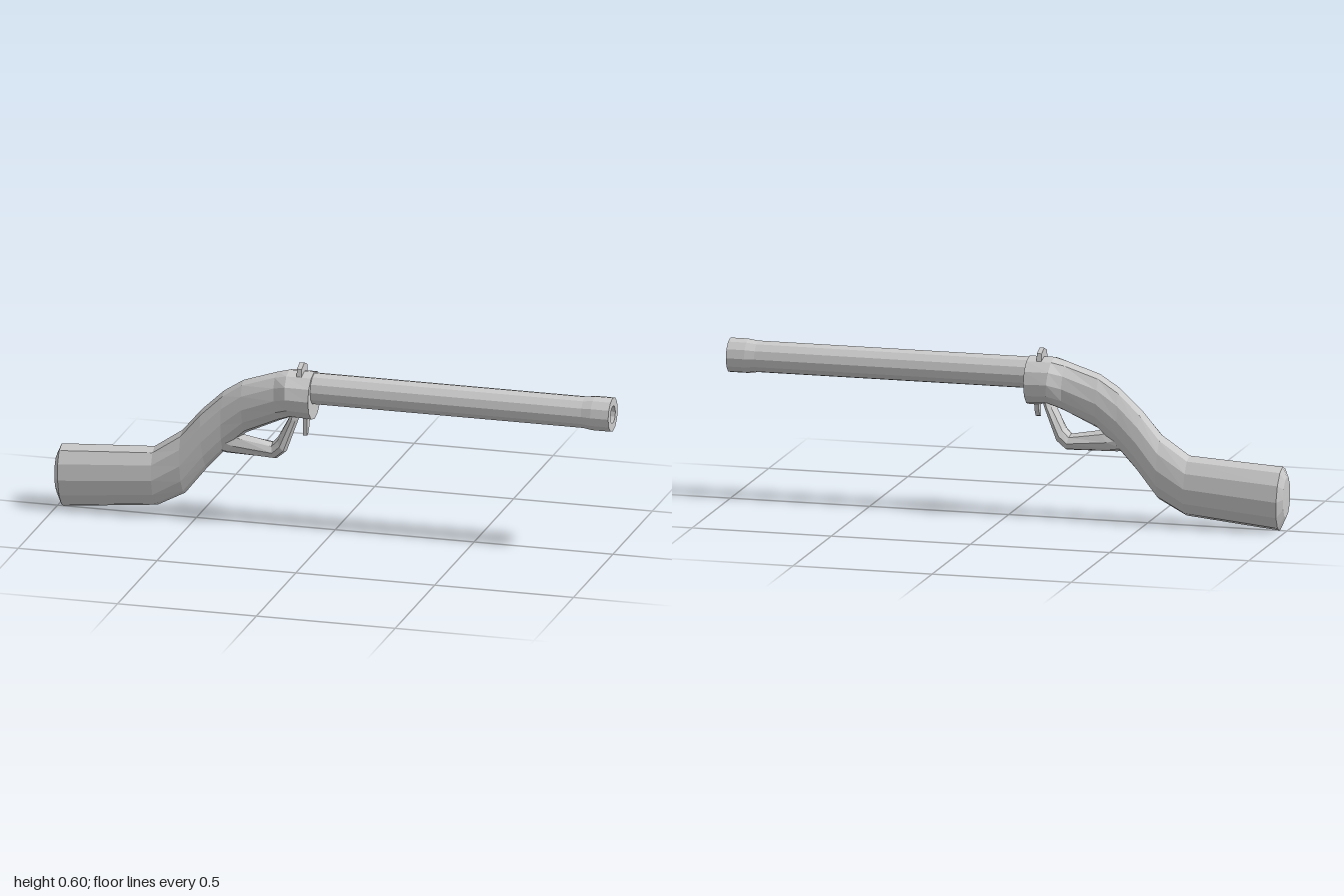
import * as THREE from 'three';

const material = new THREE.MeshStandardMaterial({ color: 0xcccccc, flatShading: true, side: THREE.DoubleSide });

// Skin a row of elliptical rings, each given as [topX, topY, bottomX, bottomY, halfWidth]
function loft(name, sections, sides) {
  const pos = [], index = [];
  for (const [tx, ty, bx, by, w] of sections) {
    for (let j = 0; j < sides; j++) {
      const a = (j / sides) * Math.PI * 2, c = Math.cos(a) / 2;
      pos.push((tx + bx) / 2 + (tx - bx) * c, (ty + by) / 2 + (ty - by) * c, w * Math.sin(a));
    }
  }
  for (let i = 0; i < sections.length - 1; i++) {
    for (let j = 0; j < sides; j++) {
      const k = (j + 1) % sides;
      const a = i * sides + j, b = i * sides + k;
      const c = b + sides, d = a + sides;
      // collapsed rings close an end with a fan
      if (sections[i][4] > 0) index.push(a, b, c);
      if (sections[i + 1][4] > 0) index.push(a, c, d);
      else if (sections[i][4] > 0) continue;
    }
  }
  const g = new THREE.BufferGeometry();
  g.setAttribute('position', new THREE.Float32BufferAttribute(pos, 3));
  g.setIndex(index);
  g.computeVertexNormals();
  const mesh = new THREE.Mesh(g, material);
  mesh.name = name;
  return mesh;
}

// Flat plate with an outline in (z, y), thickened along x
function plate(name, outline, x, thickness) {
  const shape = new THREE.Shape(outline.map(([z, y]) => new THREE.Vector2(-z, y)));
  const g = new THREE.ExtrudeGeometry(shape, { depth: thickness, bevelEnabled: false });
  g.rotateY(Math.PI / 2);
  g.translate(x, 0, 0);
  const mesh = new THREE.Mesh(g, material);
  mesh.name = name;
  return mesh;
}

export function createModel() {
  const group = new THREE.Group();
  group.name = 'longGun';

  // Curved stock running into the round receiver
  group.add(loft('stock', [
    [-1, 0.12, -1, 0.12, 0],
    [-1, 0.195, -0.997, 0.05, 0.048],
    [-0.985, 0.23, -0.975, 0.003, 0.072],
    [-0.65, 0.25, -0.64, 0.037, 0.067],
    [-0.55, 0.318, -0.54, 0.09, 0.062],
    [-0.48, 0.4, -0.46, 0.19, 0.055],
    [-0.4, 0.475, -0.4, 0.255, 0.05],
    [-0.33, 0.52, -0.32, 0.33, 0.053],
    [-0.21, 0.56, -0.2, 0.385, 0.064],
    [-0.165, 0.572, -0.15, 0.405, 0.088],
    [-0.075, 0.572, -0.075, 0.4, 0.085],
    [-0.075, 0.486, -0.075, 0.486, 0],
  ], 12));

  // Barrel with flared muzzle and recessed bore: [x, radius]
  const barrel = [[-0.12, 0.056], [0.9, 0.056], [0.935, 0.061], [1, 0.061], [1, 0.031], [0.85, 0.031], [0.85, 0]];
  group.add(loft('barrel', barrel.map(([x, r]) => [x, 0.512 + r, x, 0.512 - r, r]), 12));

  // Guard loop under the receiver
  group.add(loft('triggerGuard', [
    [-0.36, 0.33, -0.42, 0.255, 0.03],
    [-0.33, 0.322, -0.39, 0.25, 0.034],
    [-0.225, 0.303, -0.21, 0.246, 0.04],
    [-0.205, 0.325, -0.175, 0.275, 0.042],
    [-0.165, 0.4, -0.13, 0.4, 0.042],
    [-0.155, 0.44, -0.12, 0.44, 0.042],
  ], 8));

  // Small trigger blade ahead of the guard
  const trigger = plate('trigger', [[0.04, 0.35], [0.025, 0.355], [0.012, 0.375], [0, 0.42], [0.04, 0.42]], -0.105, 0.015);
  group.add(trigger);

  // Upright rear sight
  group.add(plate('rearSight', [
    [0, 0.602], [0.035, 0.588], [0.042, 0.555], [0.042, 0.5], [-0.042, 0.5], [-0.042, 0.555], [-0.035, 0.588],
  ], -0.128, 0.017));

  return group;
}
